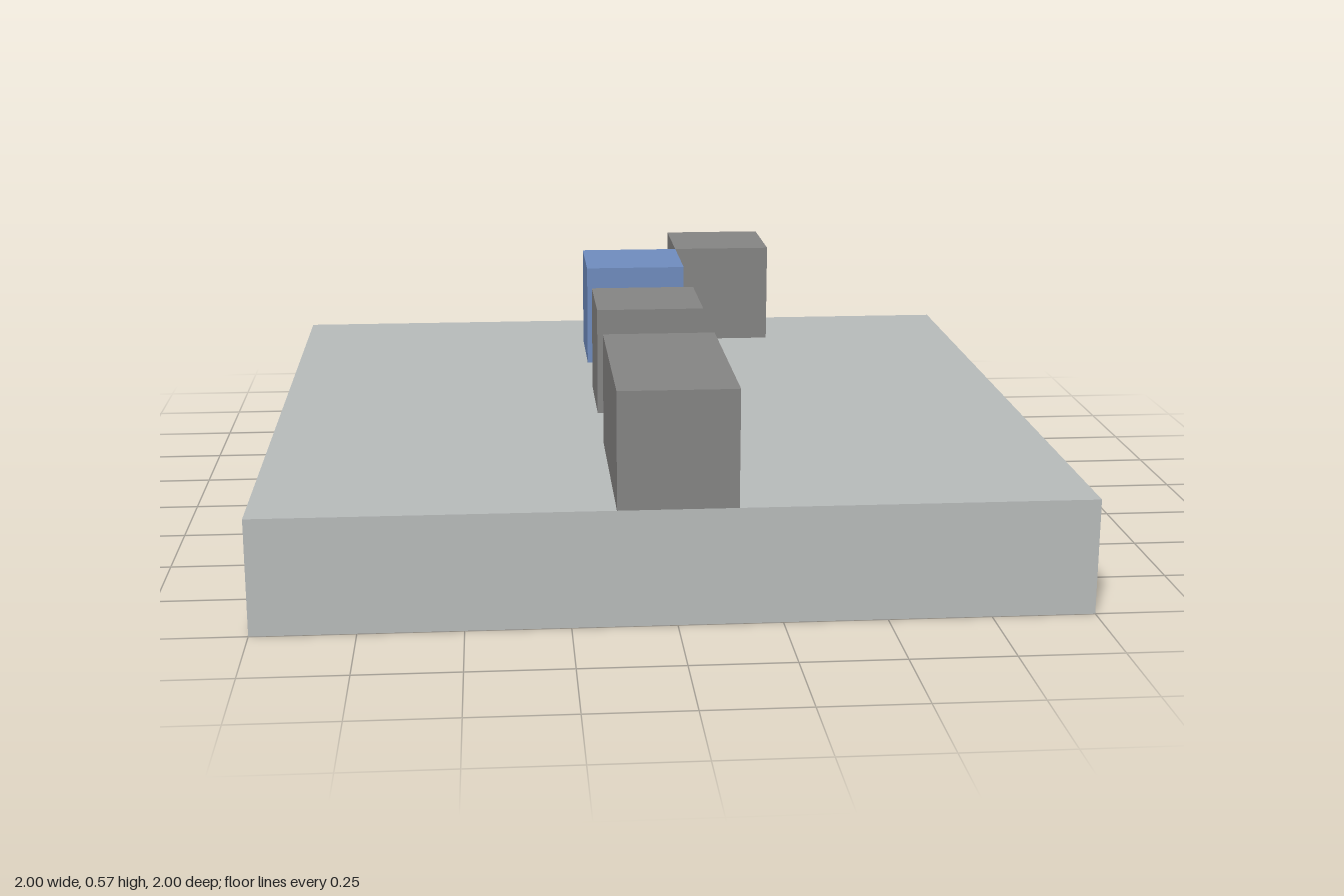
import * as THREE from 'three';

const U = 2 / 7; // one grid cell

function material(name, color) {
  const m = new THREE.MeshStandardMaterial({ color });
  m.name = name;
  return m;
}

export function createModel() {
  const model = new THREE.Group();
  model.name = 'blockBoard';

  const lightGrey = material('light grey', 0xbabebd);
  const darkGrey = material('dark grey', 0x878685);
  const blue = material('blue', 0x718ec1);

  // Box measured in grid cells, standing on the given level
  function addBlock(name, mat, [w, h, d], [x, level, z]) {
    const mesh = new THREE.Mesh(new THREE.BoxGeometry(w * U, h * U, d * U), mat);
    mesh.name = name;
    mesh.position.set(x * U, (level + h / 2) * U, z * U);
    model.add(mesh);
  }

  // Square slab, seven cells wide
  addBlock('base', lightGrey, [7, 1, 7], [0, 0, 0]);

  // Blocks standing on the slab, front to back
  addBlock('frontLongBlock', darkGrey, [1, 1, 2], [0, 1, 2.5]);
  addBlock('middleBlock', darkGrey, [1, 1, 1], [0, 1, 0]);
  addBlock('blueBlock', blue, [1, 1, 1], [0, 1, -2]);
  addBlock('backBlock', darkGrey, [1, 1, 1], [1, 1, -3]);

  return model;
}
